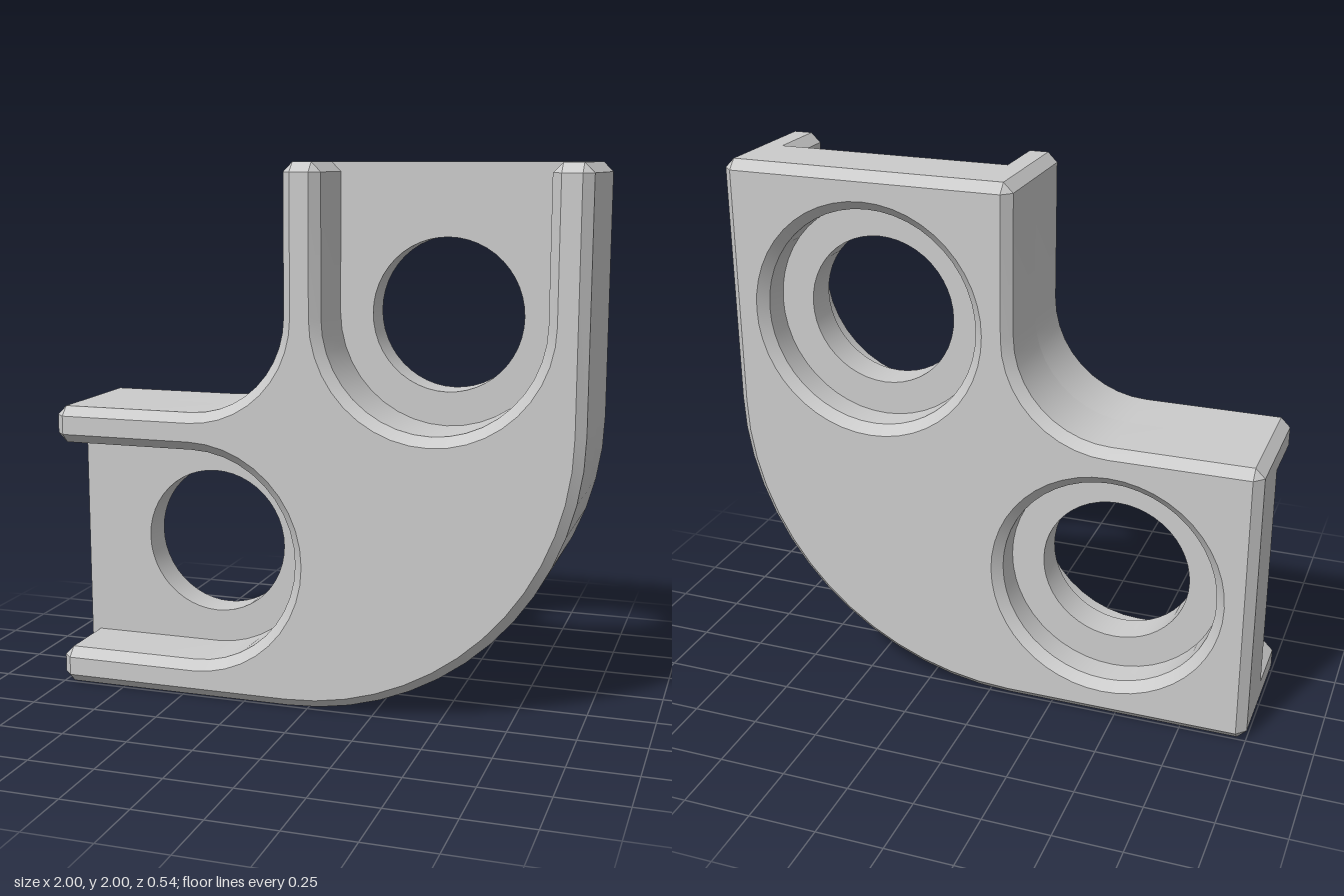
import * as THREE from 'three';
import { toCreasedNormals } from 'three/addons/utils/BufferGeometryUtils.js';

const V = (x, y) => new THREE.Vector2(x, y);
const T = 0.27;      // half thickness
const C = 0.035;     // chamfer
const R = 0.405;     // pocket and counterbore radius
const HOLE = 0.28;   // through-hole radius
const STEP = -0.13;  // counterbore floor
const CENTRE = V(0.455, 1.455);

const arc = (cx, cy, r, from, to, n) => Array.from({ length: n + 1 }, (_, i) => {
  const a = from + (to - from) * i / n;
  return V(cx + r * Math.cos(a), cy + r * Math.sin(a));
});
// clockwise circle, so that its wall faces inwards
const bore = (c, r) => arc(c.x, c.y, r, Math.PI * 2, 0, 48).slice(0, -1);
// the two arms mirror each other across the bracket's diagonal
const mirror = p => V(1 - p.y, 1 - p.x);
const mirrorPath = path => path.map(mirror).reverse();

// mitred inset of a counter-clockwise ring; also splits square outer corners into flats
function inset(ring, d) {
  const flat = [], wall = [], wallInset = [];
  ring.forEach((p, i) => {
    const prev = ring[(i + ring.length - 1) % ring.length], next = ring[(i + 1) % ring.length];
    const e = p.clone().sub(prev).normalize(), f = next.clone().sub(p).normalize();
    const n = V(-e.y - f.y, e.x + f.x);
    const q = p.clone().addScaledVector(n, d / (1 + e.dot(f)));
    flat.push(q);
    if (e.dot(f) < 0.2) {
      wall.push(p.clone().addScaledVector(e, -d), p.clone().addScaledVector(f, d));
      wallInset.push(q, q);
    } else {
      wall.push(p);
      wallInset.push(q);
    }
  });
  return { flat, wall, wallInset };
}

// collects walls between rings and flat caps into one surface
class Surface {
  constructor() { this.pos = []; }
  tri(...pts) {
    const [a, b, c] = pts.map(p => new THREE.Vector3(...p));
    if (b.clone().sub(a).cross(c.clone().sub(a)).length() < 1e-9) return;
    for (const p of [a, b, c]) this.pos.push(p.x, p.y, p.z);
  }
  wall(low, zl, high, zh) {
    low.forEach((p, i) => {
      const j = (i + 1) % low.length, q = low[j], r = high[j], s = high[i];
      this.tri([p.x, p.y, zl], [q.x, q.y, zl], [r.x, r.y, zh]);
      this.tri([p.x, p.y, zl], [r.x, r.y, zh], [s.x, s.y, zh]);
    });
  }
  cap(contour, holes, z, back = false) {
    const all = [contour, ...holes].flat();
    for (const [a, b, c] of THREE.ShapeUtils.triangulateShape(contour, holes)) {
      const order = back ? [a, c, b] : [a, b, c];
      this.tri(...order.map(k => [all[k].x, all[k].y, z]));
    }
  }
  mesh(name) {
    const g = new THREE.BufferGeometry();
    g.setAttribute('position', new THREE.Float32BufferAttribute(this.pos, 3));
    const m = new THREE.Mesh(toCreasedNormals(g, Math.PI / 6),
      new THREE.MeshStandardMaterial({ color: 0xcccccc }));
    m.name = name;
    return m;
  }
}

export function createModel() {
  const group = new THREE.Group();
  group.name = 'cornerBracket';
  const { x: cx, y: cy } = CENTRE;
  const centres = [CENTRE, mirror(CENTRE)];

  // U-shaped pocket path, from the right end of its mouth round to the left
  const curve = arc(cx, cy, R, 0, -Math.PI, 20);
  const pocket = [V(cx + R, 2), ...curve, V(cx - R, 2)];

  // outlines: the back is the plain bracket, the front has the pockets cut out
  const outer = [V(-1, 0), ...arc(-0.08, 1.08, 1.08, -Math.PI / 2, 0, 14), V(1, 2)];
  const inner = [V(-0.09, 2), ...arc(-0.455, 1.455, 0.365, 0, -Math.PI / 2, 10), V(-1, 1.09)];
  const backRing = inset([...outer, ...inner], C);
  const frontRing = inset([...outer, ...pocket, ...inner, ...mirrorPath(pocket)], C);

  // front half: raised rim and web
  const rim = new Surface();
  rim.wall(frontRing.wall, 0, frontRing.wall, T - C);
  rim.wall(frontRing.wall, T - C, frontRing.wallInset, T);
  rim.cap(frontRing.flat, [], T);
  group.add(rim.mesh('frontRim'));

  // back half: plate
  const plate = new Surface();
  plate.wall(backRing.wallInset, -T, backRing.wall, C - T);
  plate.wall(backRing.wall, C - T, backRing.wall, 0);
  plate.cap(backRing.flat, centres.map(c => bore(c, R + C)), -T, true);
  group.add(plate.mesh('backPlate'));

  // pocket floors, with flared mouths
  const floor = [V(cx + R + C, 2), V(cx + R, 2 - C), ...curve,
    V(cx - R, 2 - C), V(cx - R - C, 2)];
  [floor, mirrorPath(floor)].forEach((path, i) => {
    const s = new Surface();
    s.cap(path.slice().reverse(), [bore(centres[i], HOLE)], 0);
    group.add(s.mesh(i ? 'lowerPocketFloor' : 'upperPocketFloor'));
  });

  // stepped bolt holes: chamfer, counterbore, ledge, through hole
  centres.forEach((c, i) => {
    const s = new Surface();
    const mouth = bore(c, R + C), wide = bore(c, R), narrow = bore(c, HOLE);
    s.wall(mouth, -T, wide, C - T);
    s.wall(wide, C - T, wide, STEP);
    s.cap(wide.slice().reverse(), [narrow], STEP, true);
    s.wall(narrow, STEP, narrow, 0);
    group.add(s.mesh(i ? 'lowerBoltHole' : 'upperBoltHole'));
  });

  return group;
}
